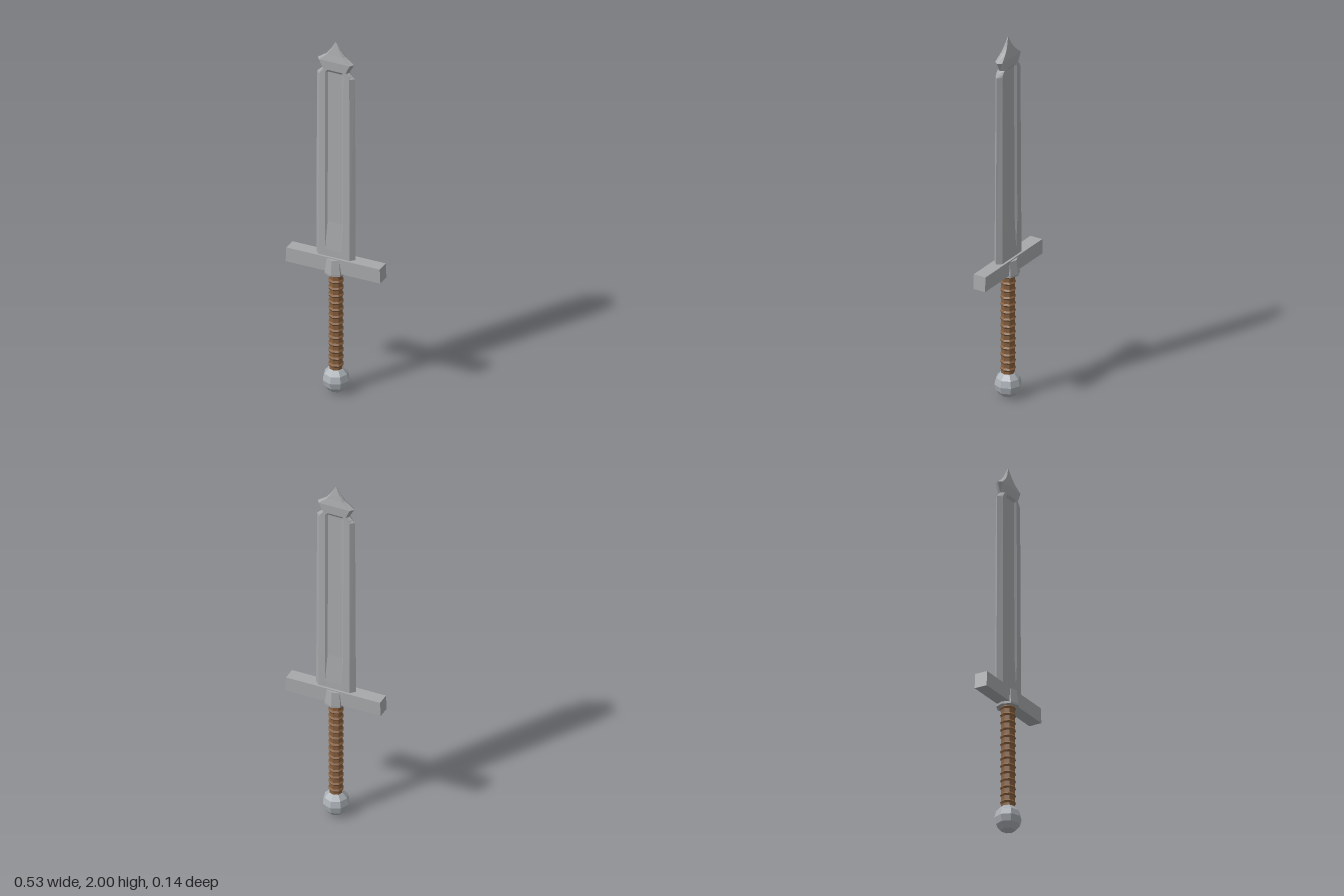
import * as THREE from 'three';

const steel = new THREE.MeshStandardMaterial({ color: 0xa6a8aa });
steel.name = 'steel';
const polished = new THREE.MeshStandardMaterial({ color: 0xacb1b6 });
polished.name = 'polished steel';
const leather = new THREE.MeshStandardMaterial({ color: 0x87603f });
leather.name = 'brown leather';

// Flat-shaded mesh with a plain name
function part(name, geometry, material) {
  const flat = geometry.index ? geometry.toNonIndexed() : geometry;
  flat.computeVertexNormals();
  const mesh = new THREE.Mesh(flat, material);
  mesh.name = name;
  return mesh;
}

// Eight-sided turned part with a corner facing front
function turned(name, profile, material) {
  const points = profile.map(([r, y]) => new THREE.Vector2(r, y));
  return part(name, new THREE.LatheGeometry(points, 8), material);
}

// Blade: rows of cross-sections, from inside the guard to the point.
// Row: height, edge half-width, flat half-width, half-thickness,
// fuller half-width (outer, inner), fuller floor half-thickness
function bladeGeometry() {
  const rows = [
    [0.75, 0.109, 0.086, 0.023, 0.050, 0.040, 0.023],
    [0.81, 0.109, 0.086, 0.023, 0.050, 0.040, 0.0225],
    [0.97, 0.109, 0.086, 0.023, 0.050, 0.040, 0.014],
    [1.81, 0.105, 0.083, 0.020, 0.050, 0.039, 0.010],
    [1.825, 0.090, 0.074, 0.020, 0.050, 0.039, 0.010],
    [1.84, 0.074, 0.062, 0.020, 0.047, 0.037, 0.020],
    [1.89, 0.101, 0.085, 0.021, 0.045, 0.035, 0.021],
    [1.925, 0.052, 0.044, 0.014, 0.024, 0.018, 0.014],
    [1.955, 0.028, 0.022, 0.009, 0.012, 0.009, 0.009],
    [2.0, 0.001, 0.0008, 0.001, 0.0005, 0.0003, 0.001],
  ];
  const loops = rows.map(([y, edge, flat, z, outer, inner, floor]) => {
    const front = [
      [-edge, 0], [-flat, z], [-outer, z], [-inner, floor],
      [inner, floor], [outer, z], [flat, z],
    ];
    const back = front.map(([x, d]) => [-x, -d]);
    return [...front, ...back].map(([x, d]) => [x, y, d]);
  });
  const positions = [];
  for (let i = 0; i < loops.length - 1; i++) {
    const low = loops[i], high = loops[i + 1], n = low.length;
    for (let j = 0; j < n; j++) {
      const k = (j + 1) % n;
      positions.push(...low[j], ...low[k], ...high[k], ...low[j], ...high[k], ...high[j]);
    }
  }
  const geometry = new THREE.BufferGeometry();
  geometry.setAttribute('position', new THREE.Float32BufferAttribute(positions, 3));
  return geometry;
}

export function createModel() {
  const sword = new THREE.Group();
  sword.name = 'sword';

  sword.add(part('blade', bladeGeometry(), steel));

  // Crossguard, slightly narrower along its top
  const bar = new THREE.BoxGeometry(0.526, 0.08, 0.07);
  const p = bar.attributes.position;
  for (let i = 0; i < p.count; i++) {
    if (p.getY(i) > 0) p.setX(i, p.getX(i) * 0.985);
  }
  bar.translate(0, 0.734, 0);
  sword.add(part('crossguard', bar, steel));

  // Collar around the middle of the guard
  sword.add(turned('collar', [
    [0, 0.682], [0.06, 0.682], [0.06, 0.692], [0.05, 0.768], [0, 0.768],
  ], steel));

  // Leather grip with wrapped ridges
  const wraps = 14, bottom = 0.125, step = (0.685 - bottom) / wraps;
  const grip = [];
  for (let i = 0; i < wraps; i++) {
    const y = bottom + i * step;
    grip.push([0.035, y], [0.035, y + step * 0.55], [0.041, y + step * 0.78]);
  }
  grip.push([0.035, 0.685]);
  sword.add(turned('grip', grip, leather));

  // Faceted ball pommel
  sword.add(turned('pommel', [
    [0, 0], [0.036, 0.007], [0.061, 0.035], [0.07, 0.07],
    [0.061, 0.105], [0.037, 0.132], [0, 0.135],
  ], polished));

  return sword;
}
